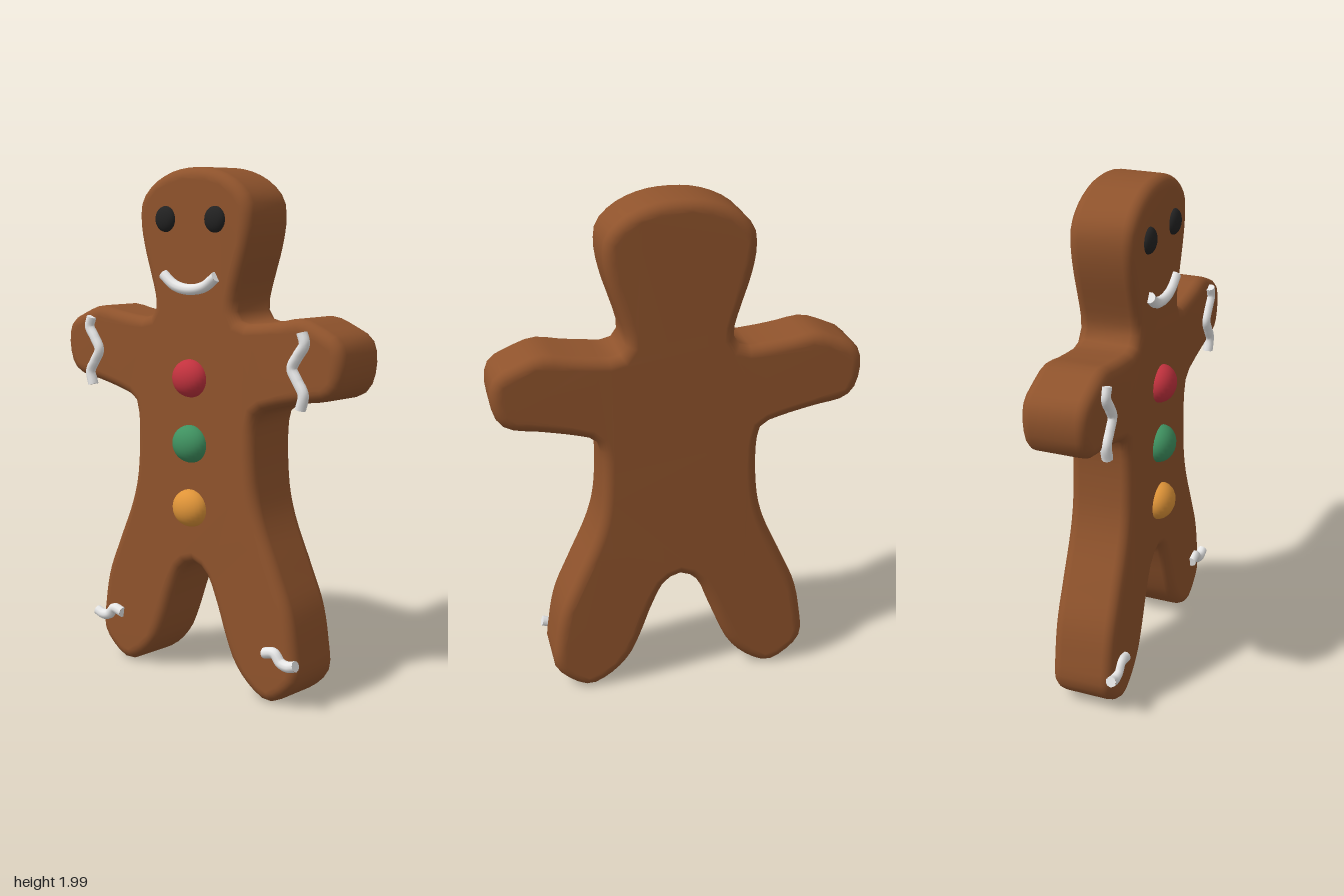
import * as THREE from 'three';
import { mergeVertices } from 'three/addons/utils/BufferGeometryUtils.js';

const material = (name, color) => {
  const m = new THREE.MeshStandardMaterial({ color });
  m.name = name;
  return m;
};

export function createModel() {
  const gingerbread = material('gingerbread', 0x8f532c);
  const icing = material('white icing', 0xe9e9e9);
  const black = material('black candy', 0x222222);
  const red = material('red candy', 0xc2323e);
  const green = material('green candy', 0x3f9160);
  const orange = material('orange candy', 0xdf9438);

  const model = new THREE.Group();
  model.name = 'gingerbreadCookie';
  const FRONT = 0.097, BACK = -0.152;

  const add = (name, geometry, mat, parent = model) => {
    const mesh = new THREE.Mesh(geometry, mat);
    mesh.name = name;
    parent.add(mesh);
    return mesh;
  };

  // Cookie body: half outline from crown to crotch, mirrored and smoothed
  const half = [
    [0, 2], [0.11, 1.988], [0.21, 1.945], [0.273, 1.88], [0.283, 1.80], [0.265, 1.70],
    [0.23, 1.59], [0.205, 1.50], [0.21, 1.452], [0.245, 1.43], [0.31, 1.432], [0.41, 1.444],
    [0.52, 1.46], [0.61, 1.43], [0.685, 1.39], [0.707, 1.33], [0.69, 1.225], [0.65, 1.182],
    [0.52, 1.155], [0.38, 1.122], [0.322, 1.098], [0.304, 1.04], [0.31, 0.81], [0.34, 0.69],
    [0.42, 0.51], [0.48, 0.37], [0.508, 0.23], [0.515, 0.12], [0.47, 0.057], [0.375, 0.006],
    [0.285, 0.045], [0.21, 0.12], [0.165, 0.21], [0.11, 0.355], [0.06, 0.45], [0, 0.48],
  ];
  const mirrored = half.slice(1, -1).reverse().map(([x, y]) => [-x, y]);
  const outline = new THREE.CatmullRomCurve3(
    [...half, ...mirrored].map(([x, y]) => new THREE.Vector3(x, y, 0)), true);
  const points = outline.getSpacedPoints(180).slice(0, -1).map((p) => new THREE.Vector2(p.x, p.y));
  const bevel = 0.042;
  let body = new THREE.ExtrudeGeometry(new THREE.Shape(points), {
    depth: FRONT - BACK - 2 * bevel, steps: 1,
    bevelEnabled: true, bevelSize: bevel, bevelThickness: bevel, bevelOffset: -bevel, bevelSegments: 6,
  });
  body.translate(0, 0, BACK + bevel);
  body.deleteAttribute('uv');
  body.deleteAttribute('normal');
  body = mergeVertices(body, 1e-4);
  body.computeVertexNormals();
  add('body', body, gingerbread);

  // Flattened round candies: eyes and buttons
  const candy = (name, mat, x, y, rx, ry, rz) => {
    const mesh = add(name, new THREE.SphereGeometry(1, 24, 16), mat);
    mesh.scale.set(rx, ry, rz);
    mesh.position.set(x, y, FRONT);
  };
  candy('leftEye', black, 0.125, 1.807, 0.049, 0.049, 0.026);
  candy('rightEye', black, -0.128, 1.807, 0.049, 0.049, 0.026);
  candy('topButton', red, 0, 1.208, 0.08, 0.073, 0.06);
  candy('middleButton', green, 0, 0.955, 0.08, 0.073, 0.06);
  candy('bottomButton', orange, 0, 0.703, 0.08, 0.073, 0.06);

  // Piped icing: a tube with flat end caps
  const pipe = (name, path, side = 1) => {
    const group = new THREE.Group();
    group.name = name;
    const curve = new THREE.CatmullRomCurve3(
      path.map(([x, y]) => new THREE.Vector3(x * side, y, FRONT + 0.006)));
    add('icingStrand', new THREE.TubeGeometry(curve, 40, 0.021, 10), icing, group);
    for (const t of [0, 1]) {
      const end = add('icingEnd', new THREE.CircleGeometry(0.021, 10), icing, group);
      const direction = curve.getTangent(t).multiplyScalar(t ? 1 : -1);
      end.position.copy(curve.getPoint(t));
      end.quaternion.setFromUnitVectors(new THREE.Vector3(0, 0, 1), direction);
    }
    model.add(group);
  };
  pipe('mouth', [[-0.135, 1.597], [-0.075, 1.558], [0, 1.545], [0.075, 1.558], [0.135, 1.597]]);
  for (const [side, label] of [[1, 'left'], [-1, 'right']]) {
    pipe(label + 'ArmIcing',
      [[0.543, 1.415], [0.555, 1.375], [0.525, 1.33], [0.5, 1.285], [0.525, 1.24], [0.552, 1.195], [0.54, 1.14]], side);
    pipe(label + 'FootIcing',
      [[0.53, 0.188], [0.495, 0.178], [0.46, 0.185], [0.43, 0.215], [0.38, 0.207]], side);
  }
  return model;
}
